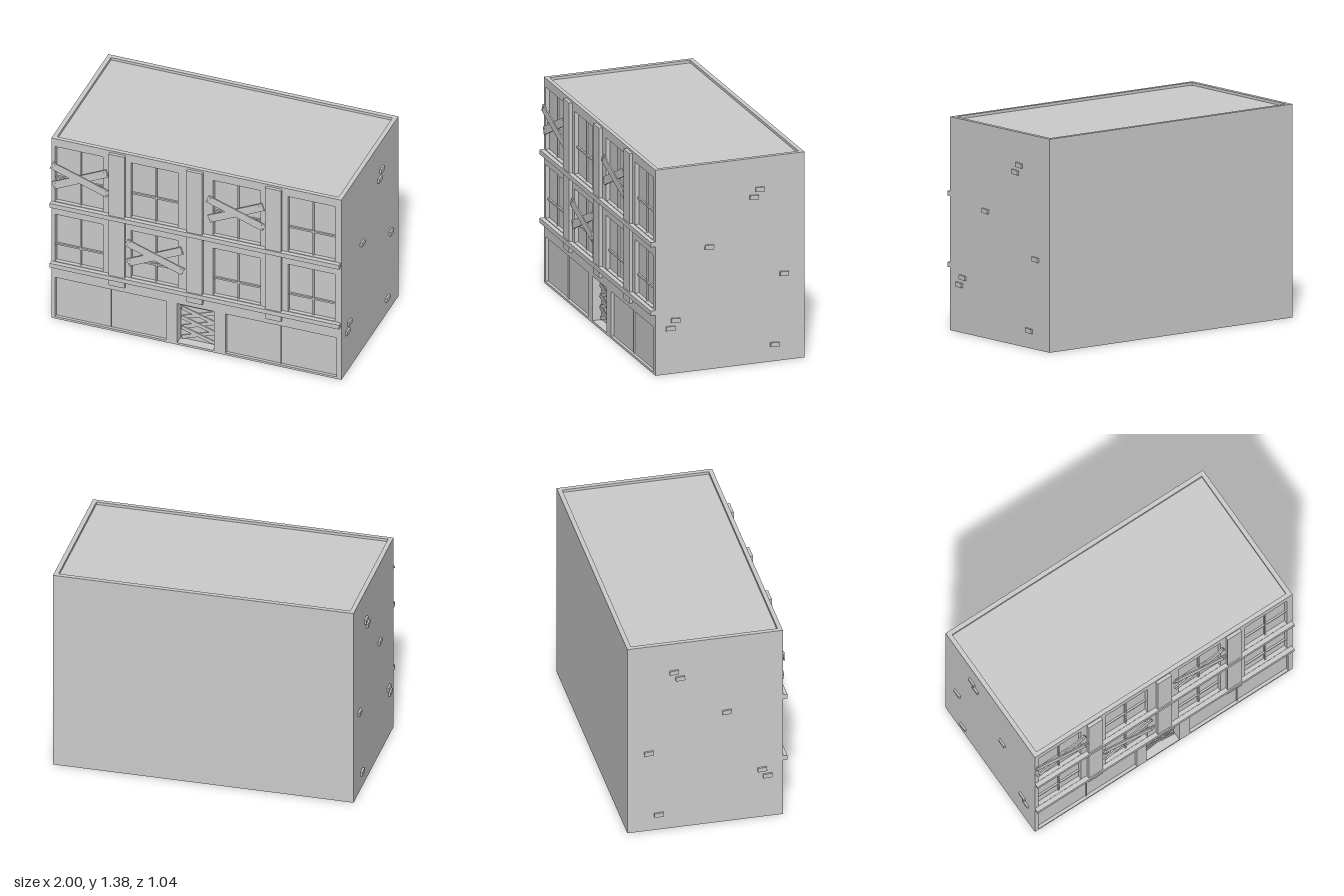
import * as THREE from 'three';

const FRONT = 0.495, BACK = -0.52, CORE = 0.425, HW = 0.987, TOP = 1.38, ROOF = 1.362;

export function createModel() {
  const model = new THREE.Group();
  const mat = new THREE.MeshStandardMaterial({ color: 0xcccccc, flatShading: true });

  const add = (name, geo, parent = model) => {
    const mesh = new THREE.Mesh(geo, mat);
    mesh.name = name;
    parent.add(mesh);
    return mesh;
  };
  // Box given by its extents
  const box = (name, x0, x1, y0, y1, z0, z1, parent = model) => {
    const mesh = add(name, new THREE.BoxGeometry(x1 - x0, y1 - y0, z1 - z0), parent);
    mesh.position.set((x0 + x1) / 2, (y0 + y1) / 2, (z0 + z1) / 2);
    return mesh;
  };
  const rect = (T, x0, x1, y0, y1) => new T([
    new THREE.Vector2(x0, y0), new THREE.Vector2(x1, y0),
    new THREE.Vector2(x1, y1), new THREE.Vector2(x0, y1)]);

  // Main block behind the facade
  box('buildingCore', -HW, HW, 0, ROOF, BACK, CORE);

  // Openings
  const columns = [[-0.96, -0.635], [-0.445, -0.125], [0.115, 0.435], [0.625, 0.945]];
  const rows = [[0.44, 0.8, 0.565], [0.9, 1.32, 1.078]];
  const shops = [[-0.96, -0.205, -0.585], [0.2, 0.955, 0.57]];
  const door = [-0.13, 0.12, 0.015, 0.315];

  // Facade wall with holes for windows, shopfronts and door
  const wall = rect(THREE.Shape, -HW, HW, 0, ROOF);
  for (const [x0, x1] of columns)
    for (const [y0, y1] of rows) wall.holes.push(rect(THREE.Path, x0, x1, y0, y1));
  for (const [x0, x1] of shops) wall.holes.push(rect(THREE.Path, x0, x1, 0.015, 0.315));
  wall.holes.push(rect(THREE.Path, ...door));
  add('facadeWall', new THREE.ExtrudeGeometry(wall, { depth: FRONT - CORE, bevelEnabled: false }))
    .position.z = CORE;

  // Parapet ring round the roof
  const ring = rect(THREE.Shape, -HW, HW, -FRONT, -BACK);
  ring.holes.push(rect(THREE.Path, -0.957, 0.957, -0.467, 0.49));
  const parapet = add('parapet', new THREE.ExtrudeGeometry(ring, { depth: TOP - ROOF, bevelEnabled: false }));
  parapet.rotation.x = -Math.PI / 2;
  parapet.position.y = ROOF;

  // Windows: glass, centre mullion and crossbar
  for (const [x0, x1] of columns) {
    for (const [y0, y1, bar] of rows) {
      const win = new THREE.Group();
      win.name = 'window';
      const cx = (x0 + x1) / 2 + 0.005;
      box('glass', x0, x1, y0, y1, CORE - 0.01, 0.468, win);
      box('mullion', cx - 0.005, cx + 0.005, y0, y1, 0.46, 0.48, win);
      box('crossbar', x0, x1, bar - 0.006, bar + 0.006, 0.46, 0.48, win);
      model.add(win);
    }
  }

  // Shopfront panels with a thin dividing strip
  for (const [x0, x1, mid] of shops) {
    box('shopPanel', x0, x1, 0.015, 0.315, CORE - 0.01, 0.475);
    box('shopDivider', mid - 0.001, mid + 0.001, 0.015, 0.315, 0.47, 0.485);
  }

  // Pilasters and ledges
  for (const x of [-0.535, -0.006, 0.53])
    box('pilaster', x - 0.054, x + 0.054, 0.36, 1.366, FRONT - 0.01, 0.517);
  for (const y of [0.42, 0.88])
    box('ledge', -0.987, 0.982, y - 0.016, y + 0.016, FRONT - 0.01, 0.525);

  // Double door, transom and handles
  const entrance = new THREE.Group();
  entrance.name = 'entrance';
  model.add(entrance);
  for (const [x0, x1] of [[-0.128, -0.006], [-0.004, 0.118]])
    box('doorLeaf', x0, x1, 0.017, 0.272, CORE - 0.005, CORE + 0.008, entrance);
  box('transomBar', door[0], door[1], 0.272, 0.28, CORE - 0.005, CORE + 0.016, entrance);
  box('transomMullion', -0.009, -0.001, 0.28, 0.315, CORE - 0.005, CORE + 0.012, entrance);
  for (const x of [-0.016, 0.006]) {
    const knob = add('doorKnob', new THREE.SphereGeometry(0.005, 8, 6), entrance);
    knob.position.set(x, 0.152, CORE + 0.011);
  }

  // Plank with slanted ends and a pair of nails at each end
  function plank(length, width, depth) {
    const g = new THREE.Group();
    g.name = 'plank';
    const l = length / 2, w = width / 2, s = width * 0.1;
    const shape = new THREE.Shape([[-l, -w], [l - s, -w], [l, w], [-l + s, w]]
      .map(p => new THREE.Vector2(...p)));
    add('board', new THREE.ExtrudeGeometry(shape, { depth, bevelEnabled: false }), g);
    for (const side of [-1, 1]) {
      for (const v of [-1, 1]) {
        const nail = add('nail', new THREE.CylinderGeometry(width * 0.06, width * 0.06, 0.003, 6), g);
        nail.rotation.x = Math.PI / 2;
        nail.position.set(side * (l - width * (0.35 + 0.1 * v)), v * w * 0.45, depth + 0.001);
      }
    }
    return g;
  }
  // Two crossed planks nailed over an opening
  function cross(name, x, y, z, length, width, depth, up, down) {
    const g = new THREE.Group();
    g.name = name;
    [up, down].forEach((angle, i) => {
      const p = plank(length, width, depth);
      p.rotation.z = THREE.MathUtils.degToRad(angle);
      p.position.z = i * depth * 0.6;
      g.add(p);
    });
    g.position.set(x, y, z);
    model.add(g);
  }
  for (const [x, y] of [[-0.788, 1.113], [0.272, 1.113], [-0.28, 0.643]])
    cross('windowBoards', x, y, FRONT, 0.415, 0.054, 0.009, 26, -19);
  for (const y of [0.07, 0.148, 0.222])
    cross('doorBoards', -0.005, y, CORE + 0.012, 0.245, 0.026, 0.006, 20, -17);

  // Loose bricks standing out of both side walls, as [z, y]
  const bricks = [[-0.215, 1.168], [-0.175, 1.118], [0.13, 0.822], [-0.38, 0.582],
    [0.36, 0.358], [0.395, 0.307], [-0.315, 0.113]];
  for (const side of [-1, 1]) {
    for (const [z, y] of bricks) {
      const brick = add('brick', new THREE.BoxGeometry(0.026, 0.029, 0.06));
      brick.position.set(side * HW, y, z);
      brick.rotation.x = -0.06;
    }
  }
  return model;
}
